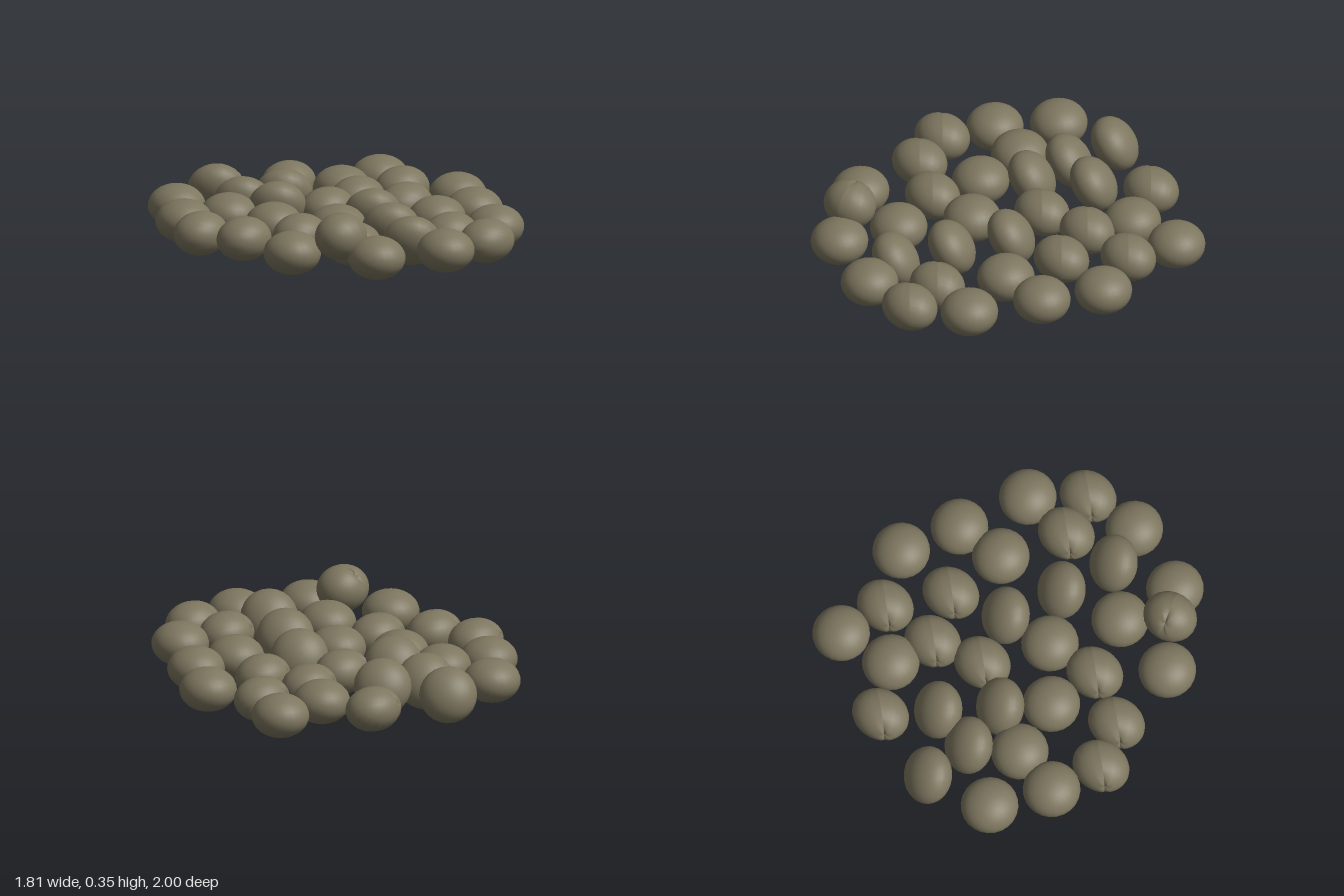
import * as THREE from 'three';

// Unit bean: sphere with a narrow seam pressed into the +y pole, running along x
function beanGeometry(seam) {
  const geo = new THREE.SphereGeometry(1, 24, 18);
  if (!seam) return geo;
  const p = geo.attributes.position;
  for (let i = 0; i < p.count; i++) {
    const x = p.getX(i), y = p.getY(i), z = p.getZ(i);
    if (y > 0.7 && Math.abs(z) < 0.001) {
      const k = 1 - 0.13 * (1 - Math.abs(x) / 0.8);
      p.setXYZ(i, x * k, y * k, 0);
    }
  }
  geo.computeVertexNormals();
  return geo;
}

// Turn the seam to face direction d, with its line kept in the vertical plane
function faceSeam(geo, d) {
  const y = new THREE.Vector3(...d).normalize();
  const z = new THREE.Vector3().crossVectors(y, new THREE.Vector3(0, 1, 0)).normalize();
  const x = new THREE.Vector3().crossVectors(y, z);
  return geo.applyMatrix4(new THREE.Matrix4().makeBasis(x, y, z));
}

export function createModel() {
  const group = new THREE.Group();
  group.name = 'beanPile';
  const material = new THREE.MeshStandardMaterial({ color: 0x7d765f });
  material.name = 'oliveBrown';

  const flat = beanGeometry(false).scale(0.148, 0.112, 0.149);
  const seamed = faceSeam(beanGeometry(true), [-0.6, 0.25, -0.75]).scale(0.153, 0.114, 0.131);
  const raised = faceSeam(beanGeometry(true), [-0.12, 0.72, -0.6]).scale(0.143, 0.122, 0.127);
  // Leaning bean: thin axis set along a diagonal
  const lean = new THREE.Quaternion().setFromUnitVectors(
    new THREE.Vector3(0, 1, 0), new THREE.Vector3(1, 1, -1).normalize());
  const leaning = beanGeometry(false).scale(0.149, 0.108, 0.149).applyQuaternion(lean);

  // Positions [x, z, optional y] for each pose
  const poses = [
    ['flatBean', flat, 0.13, [
      [-0.40, -0.82], [-0.615, -0.57], [-0.365, -0.49], [0.455, -0.455], [0.755, -0.465],
      [-0.355, -0.185], [-0.165, 0.085], [0.75, 0.08], [-0.745, 0.30], [-0.39, 0.395],
      [0.31, 0.34], [0.575, 0.355], [-0.53, 0.69], [0.375, 0.685], [-0.175, 0.845]]],
    ['seamedBean', seamed, 0.13, [
      [0.34, -0.72], [-0.755, -0.325], [-0.69, -0.085], [0.065, -0.195], [0.34, -0.24],
      [0.65, -0.215], [-0.445, 0.08], [0.41, 0.03], [0.10, 0.63], [0.12, 0.86]]],
    ['leaningBean', leaning, 0.148, [
      [-0.05, -0.865], [-0.13, -0.61, 0.138], [0.105, -0.54], [-0.15, -0.35, 0.16],
      [0.105, 0.08], [-0.055, 0.355], [-0.195, 0.625]]],
    ['raisedBean', raised, 0.23, [[-0.615, 0.52]]],
  ];
  for (const [name, geo, height, spots] of poses) {
    spots.forEach(([x, z, y = height], i) => {
      const bean = new THREE.Mesh(geo, material);
      bean.name = name + (i + 1);
      bean.position.set(x, y, z);
      group.add(bean);
    });
  }
  return group;
}
